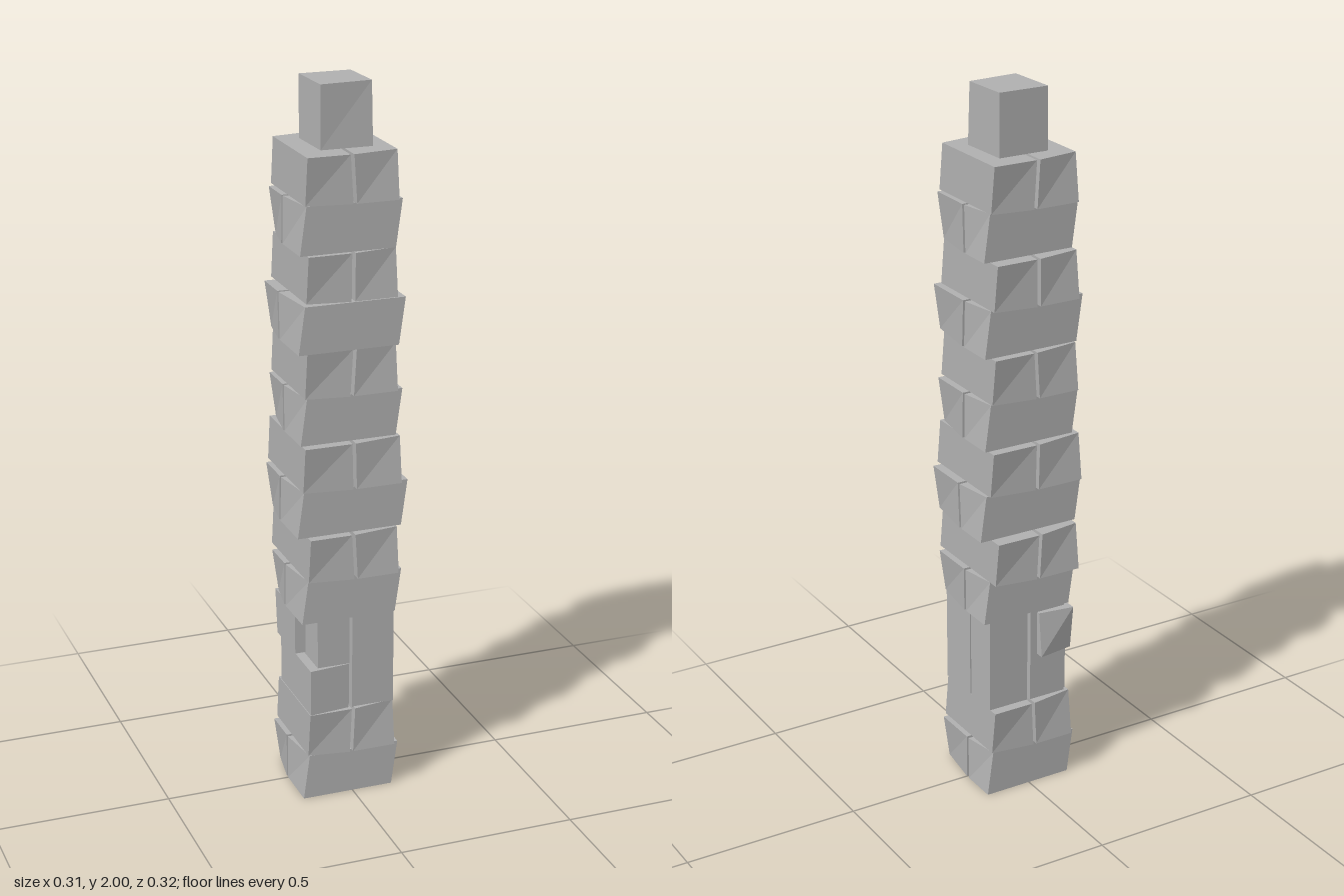
import * as THREE from 'three';

export function createModel() {
  const tower = new THREE.Group();
  tower.name = 'stackedTower';
  const stone = new THREE.MeshStandardMaterial({ color: 0xb0b0b0 });
  stone.name = 'grey stone';

  // Box between two corners; "skew" moves each corner by a rule in unit signs
  function block(name, [x0, x1], [y0, y1], [z0, z1], skew) {
    let g = new THREE.BoxGeometry(2, 2, 2);
    const p = g.attributes.position;
    for (let i = 0; i < p.count; i++) {
      const sx = p.getX(i), sy = p.getY(i), sz = p.getZ(i);
      const [dx, dz] = skew ? skew(sx, sy, sz) : [0, 0];
      p.setXYZ(i, (sx > 0 ? x1 : x0) + dx, sy > 0 ? y1 : y0, (sz > 0 ? z1 : z0) + dz);
    }
    g = g.toNonIndexed();
    g.computeVertexNormals();
    const mesh = new THREE.Mesh(g, stone);
    mesh.name = name;
    tower.add(mesh);
  }

  // Courses: [floor, top, x min, x max, z min, z max]; they alternate direction
  const courses = [
    [0.00, 0.13, -0.145, 0.135, -0.118, 0.132],
    [0.13, 0.262, -0.13, 0.12, -0.135, 0.147],
    null, null, // replaced by the upright stones
    [0.535, 0.66, -0.148, 0.14, -0.112, 0.135],
    [0.66, 0.79, -0.132, 0.122, -0.16, 0.162],
    [0.79, 0.92, -0.16, 0.155, -0.12, 0.137],
    [0.92, 1.05, -0.145, 0.13, -0.148, 0.158],
    [1.05, 1.18, -0.148, 0.14, -0.12, 0.13],
    [1.18, 1.31, -0.135, 0.12, -0.142, 0.148],
    [1.31, 1.44, -0.16, 0.138, -0.118, 0.152],
    [1.44, 1.57, -0.13, 0.118, -0.15, 0.147],
    [1.57, 1.70, -0.148, 0.135, -0.11, 0.132],
    [1.70, 1.83, -0.132, 0.12, -0.138, 0.147],
  ];

  courses.forEach((c, row) => {
    if (!c) return;
    const [y0, y1, x0, x1, z0, z1] = c;
    const alongX = row % 2 === 0;
    const wobble = 0.004 * Math.sin(row * 2.3);
    for (const side of [-1, 1]) {
      // Outer end corners are drawn in, in opposite senses at top and bottom
      const skew = (sx, sy, sz) => {
        const across = alongX ? sz : sx;
        const turn = alongX ? -sx * side : sz * side;
        const pull = across === side && turn * sy > 0 ? 0.018 : 0;
        const gap = across === -side ? wobble * sy : 0;
        return alongX ? [-sx * pull, gap] : [gap, -sz * pull];
      };
      const half = (a, b) => (side < 0 ? [a, -0.011] : [-0.001, b]);
      block(
        'courseStone',
        alongX ? [x0, x1] : half(x0, x1),
        [y0, y1],
        alongX ? half(z0, z1) : [z0, z1],
        skew
      );
    }
  });

  // Upright and loose stones between the lower courses
  const tall = [0.26, 0.535];
  block('uprightStone', [-0.002, 0.12], tall, [0.003, 0.133]);
  block('uprightStone', [0.0, 0.12], tall, [-0.107, -0.003]);
  block('uprightStone', [-0.118, -0.008], tall, [-0.11, -0.003]);
  block('looseStone', [-0.128, -0.012], [0.262, 0.395], [-0.1, 0.145],
    (sx, sy, sz) => [0, sz > 0 && sx > 0 ? -0.012 : 0]);
  block('looseStone', [-0.102, -0.009], [0.395, 0.535], [0, 0.13]);
  block('looseStone', [-0.132, -0.03], [0.4, 0.53], [-0.135, 0.03],
    (sx, sy, sz) => [0, sz < 0 && sy * sx > 0 ? 0.015 : 0]);

  // Capstone with one top corner drawn in
  block('capstone', [-0.073, 0.071], [1.83, 2], [-0.076, 0.077],
    (sx, sy, sz) => [sz < 0 ? -0.002 : 0.002, sx > 0 && sy > 0 && sz > 0 ? -0.01 : 0]);

  return tower;
}
